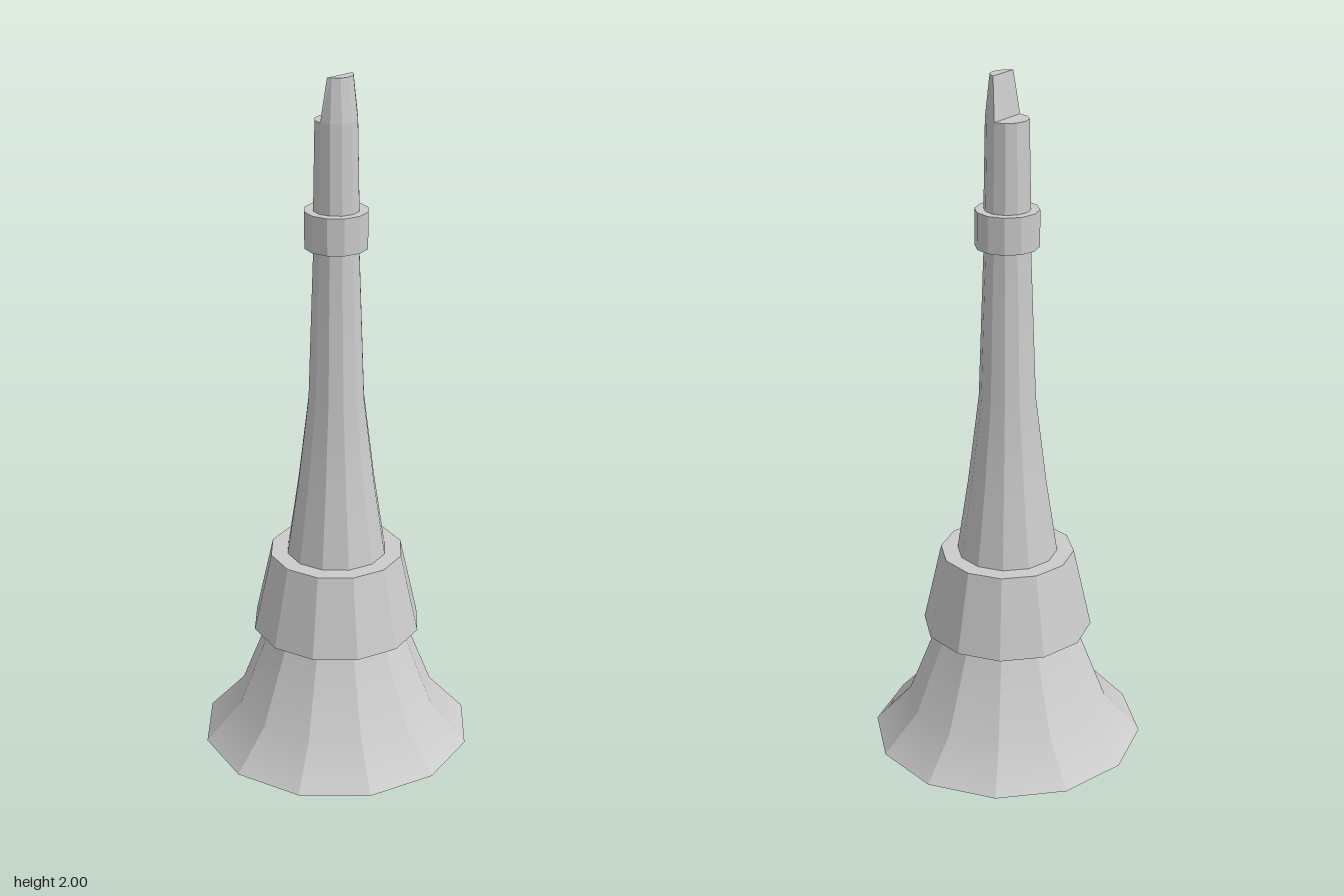
import * as THREE from 'three';

const SIDES = 12;
const material = new THREE.MeshStandardMaterial({ color: 0xcccccc });

// Twelve-sided turned surface: facets around the axis, smooth along the profile
function turned(name, profile) {
  const points = profile.map(([r, y]) => new THREE.Vector2(r, y));
  const geo = new THREE.LatheGeometry(points, SIDES).toNonIndexed();
  const pos = geo.attributes.position, nor = geo.attributes.normal;
  for (let i = 0; i < pos.count; i += 3) {
    const cx = pos.getX(i) + pos.getX(i + 1) + pos.getX(i + 2);
    const cz = pos.getZ(i) + pos.getZ(i + 1) + pos.getZ(i + 2);
    const step = (2 * Math.PI) / SIDES;
    const phi = (Math.floor(Math.atan2(cx, cz) / step) + 0.5) * step;
    for (let k = i; k < i + 3; k++) {
      const nx = nor.getX(k), nz = nor.getZ(k);
      const outward = Math.sign(nx * Math.sin(phi) + nz * Math.cos(phi));
      const h = Math.hypot(nx, nz) * outward;
      nor.setXYZ(k, h * Math.sin(phi), nor.getY(k), h * Math.cos(phi));
    }
  }
  const mesh = new THREE.Mesh(geo, material);
  mesh.name = name;
  return mesh;
}

// Group of turned surfaces that meet at hard edges
function part(name, surfaces) {
  const group = new THREE.Group();
  group.name = name;
  for (const [label, profile] of Object.entries(surfaces)) group.add(turned(label, profile));
  return group;
}

// Half-round beak whose flat back slopes forward
function beak() {
  const half = SIDES / 2, verts = [];
  const loop = (r, y, minZ) => Array.from({ length: half + 1 }, (_, i) => {
    const a = (i * Math.PI) / half;
    return [r * Math.cos(a), y, Math.max(r * Math.sin(a), minZ)];
  });
  const low = loop(0.06, 1.88, 0), high = loop(0.047, 2, 0.013);
  const tri = (a, b, c) => verts.push(...a, ...b, ...c);
  for (let i = 0; i < half; i++) {
    tri(low[i], high[i], low[i + 1]);
    tri(high[i], high[i + 1], low[i + 1]);
    if (i > 0) tri(high[0], high[i + 1], high[i]);
  }
  tri(low[half], high[half], low[0]);
  tri(high[half], high[0], low[0]);
  const geo = new THREE.BufferGeometry();
  geo.setAttribute('position', new THREE.Float32BufferAttribute(verts, 3));
  geo.computeVertexNormals();
  const mesh = new THREE.Mesh(geo, material);
  mesh.name = 'beak';
  return mesh;
}

export function createModel() {
  const model = new THREE.Group();
  model.name = 'horn';

  // Flared bell with a thick rim and a hollow bore
  model.add(part('bell', {
    bellWall: [[0.4, 0], [0.295, 0.115], [0.2, 0.36]],
    bellRim: [[0.31, 0], [0.4, 0]],
    bore: [[0.05, 1.05], [0.1, 0.62], [0.16, 0.36], [0.24, 0.115], [0.31, 0]],
    boreEnd: [[0, 1.05], [0.05, 1.05]],
  }));

  // Tapered collar above the bell
  model.add(part('collar', {
    collarUnderside: [[0.195, 0.352], [0.248, 0.362]],
    collarWall: [[0.248, 0.362], [0.195, 0.6]],
    collarTop: [[0.195, 0.6], [0.14, 0.6]],
  }));

  // Long slender tube
  model.add(turned('tube', [[0.146, 0.6], [0.113, 0.82], [0.081, 1.08], [0.065, 1.53]]));

  // Ring joining tube and mouthpiece
  model.add(part('ring', {
    ringUnderside: [[0.06, 1.525], [0.09, 1.525]],
    ringWall: [[0.09, 1.525], [0.09, 1.63]],
    ringTop: [[0.09, 1.63], [0.055, 1.63]],
  }));

  // Mouthpiece with a stepped top
  const mouthpiece = part('mouthpiece', {
    mouthpieceWall: [[0.065, 1.63], [0.06, 1.88]],
    mouthpieceStep: [[0.06, 1.88], [0, 1.88]],
  });
  mouthpiece.add(beak());
  model.add(mouthpiece);

  return model;
}
